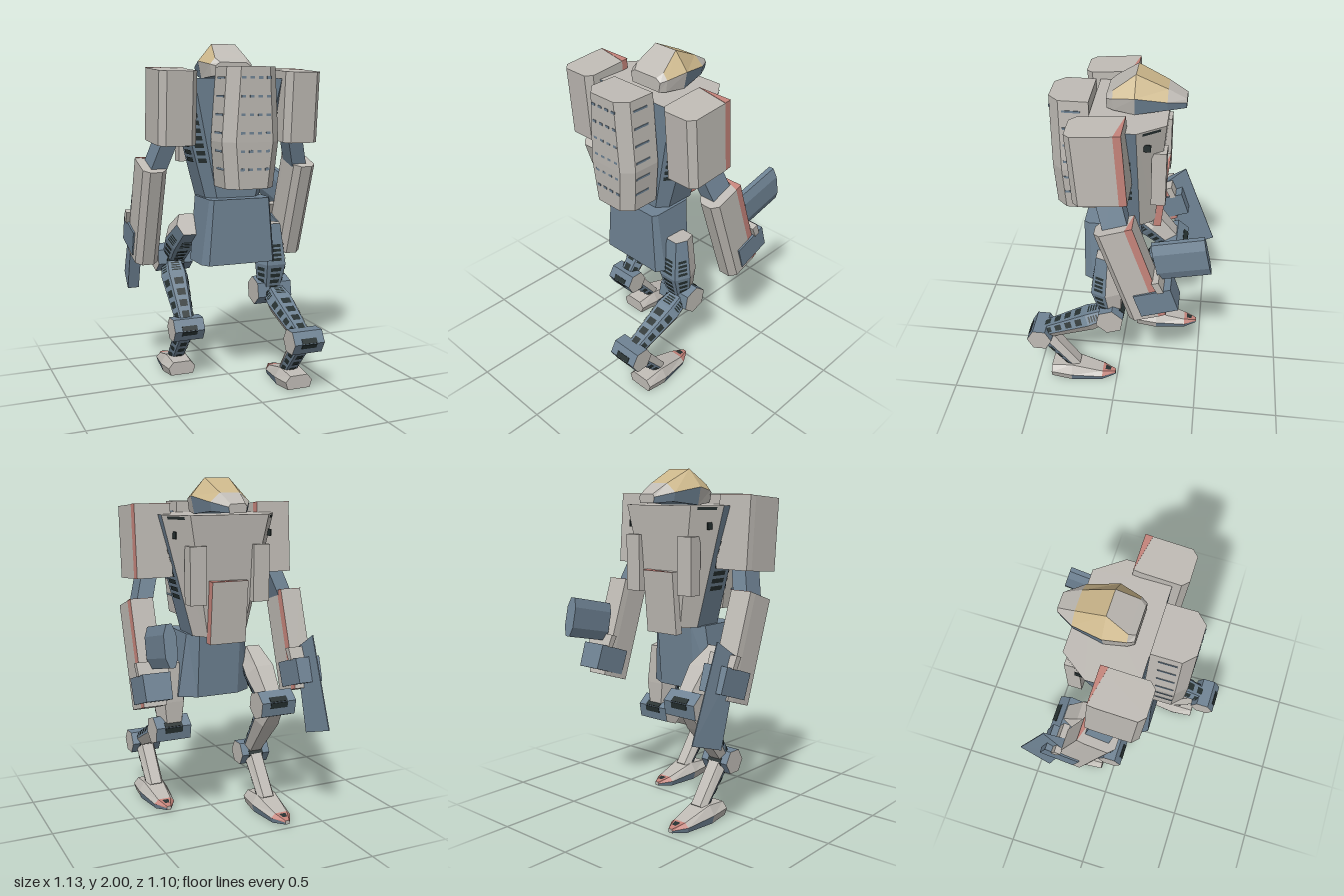
import * as THREE from 'three';

const mat = (name, color) => Object.assign(new THREE.MeshStandardMaterial({ color }), { name });
const grey = mat('armour grey', 0xbfbbb5);
const slate = mat('slate frame', 0x6f8394);
const red = mat('faded red', 0xc4837a);
const tan = mat('canopy tan', 0xcbb68a);
const dark = mat('dark vents', 0x263030);
dark.side = THREE.DoubleSide;

const V = (x, y, z) => new THREE.Vector3(x, y, z);
const centre = pts => pts.reduce((s, p) => s.add(p), V(0, 0, 0)).divideScalar(pts.length);

// Flat-faced hull through rings of points; pick(segment, side) gives each face its material.
function loft(name, rings, pick, cap0 = grey, cap1 = cap0) {
  const faces = new Map();
  const tri = (m, mid, a, b, c) => {
    const n = b.clone().sub(a).cross(c.clone().sub(a));
    const out = n.dot(centre([a, b, c]).sub(mid)) > 0;
    if (!faces.has(m)) faces.set(m, []);
    faces.get(m).push(...(out ? [a, b, c] : [a, c, b]));
  };
  const k = rings[0].length;
  for (let i = 0; i < rings.length - 1; i++) {
    const [r, s] = [rings[i], rings[i + 1]], mid = centre([...r, ...s]);
    for (let j = 0; j < k; j++) {
      const n = (j + 1) % k, m = pick(i, j);
      tri(m, mid, r[j], r[n], s[j]);
      tri(m, mid, r[n], s[n], s[j]);
    }
  }
  const whole = centre(rings.flat());
  [[rings[0], cap0], [rings[rings.length - 1], cap1]].forEach(([r, m]) => {
    for (let j = 1; j < k - 1; j++) tri(m, whole, r[0], r[j], r[j + 1]);
  });
  const geo = new THREE.BufferGeometry(), mats = [...faces.keys()], all = [];
  mats.forEach((m, i) => {
    geo.addGroup(all.length, faces.get(m).length, i);
    all.push(...faces.get(m));
  });
  geo.setFromPoints(all);
  geo.computeVertexNormals();
  const mesh = new THREE.Mesh(geo, mats);
  mesh.name = name;
  return mesh;
}

// Thin dark slats laid across one side of a hull segment, from v0 to v1.
function slats(r, s, j, n, v0 = 0.25, v1 = 0.85) {
  const k = (j + 1) % r.length, mid = centre([...r, ...s]), pts = [];
  const normal = r[k].clone().sub(r[j]).cross(s[j].clone().sub(r[j])).normalize();
  if (normal.dot(r[j].clone().sub(mid)) < 0) normal.negate();
  const at = (u, v) => r[j].clone().lerp(r[k], u).lerp(s[j].clone().lerp(s[k], u), v).addScaledVector(normal, 0.004);
  for (let i = 0; i < n; i++) {
    const a = v0 + (v1 - v0) * i / n, b = a + (v1 - v0) * 0.6 / n;
    const [p, q, t, w] = [at(0.2, a), at(0.8, a), at(0.8, b), at(0.2, b)];
    pts.push(p, q, t, p, t, w);
  }
  const geo = new THREE.BufferGeometry().setFromPoints(pts);
  geo.computeVertexNormals();
  const mesh = new THREE.Mesh(geo, dark);
  mesh.name = 'ventSlats';
  return mesh;
}

function box(name, m, size, pos) {
  const mesh = new THREE.Mesh(new THREE.BoxGeometry(...size), m);
  mesh.position.set(...pos);
  mesh.name = name;
  return mesh;
}

// Symmetric horizontal ring from its +x half, listed front to back.
const ringY = (y, half) => [...half.map(([x, z]) => V(x, y, z)),
  ...half.slice().reverse().map(([x, z]) => V(-x, y, z))];

// Armour block: chamfered rear corners, red strip on the +x front edge and a red corner on top.
function armour(name, w, h, d) {
  const g = new THREE.Group();
  g.name = name;
  const half = [[w / 2 - 0.004, -d / 2], [w / 2, -d / 2 + 0.042], [w / 2, d / 2 - 0.035], [w / 2 - 0.035, d / 2]];
  g.add(loft(name + 'Block', [ringY(-h / 2, half), ringY(h / 2, half)], (i, j) => (j === 0 ? red : grey)));
  const corner = y => [V(-w / 2, y, -d / 2), V(w / 2, y, -d / 2), V(w / 2, y, -d / 2 + 0.042)];
  g.add(loft(name + 'Corner', [corner(h / 2), corner(h / 2 + 0.002)], () => red, red));
  return g;
}

// Six-sided limb through [y, z, halfWidth, halfDepth] stations: grey in front, slate behind.
function limb(name, x, st) {
  const rings = st.map(([y, z, w, d], i) => {
    const a = st[Math.max(i - 1, 0)], b = st[Math.min(i + 1, st.length - 1)];
    const l = Math.hypot(b[0] - a[0], b[1] - a[1]);
    const ny = -(b[1] - a[1]) / l, nz = (b[0] - a[0]) / l;
    return [[-w, 0], [-0.6 * w, d], [0.6 * w, d], [w, 0], [0.6 * w, -d], [-0.6 * w, -d]]
      .map(([u, v]) => V(x + u, y + ny * v, z + nz * v));
  });
  const g = new THREE.Group();
  g.name = name;
  g.add(loft(name + 'Shell', rings, (i, j) => (j < 3 ? grey : slate)));
  for (let i = 1; i < rings.length; i++) {
    [3, 4, 5].forEach(j => g.add(slats(rings[i - 1], rings[i], j, 4, i < rings.length - 1 ? 0.5 : 0.1, 0.95)));
  }
  return g;
}

// Hexagonal joint with grey ends and a dark inset folded over its front and back edges.
function joint(name, x, y, z, r, len, roll) {
  const geo = new THREE.CylinderGeometry(r, r, len, 6).toNonIndexed();
  geo.computeVertexNormals();
  const mesh = new THREE.Mesh(geo, [slate, grey, grey]);
  mesh.rotation.set(roll, 0, Math.PI / 2);
  mesh.position.set(x, y, z);
  mesh.name = name;
  for (const a of [1, -1, 5, -5].map(n => n * Math.PI / 6)) {
    const shift = -Math.sign(a) * Math.sign(Math.cos(a)) * 0.27 * r;
    const inset = box('jointInset', dark, [r * 0.4, len * 0.5, 0.006], [
      r * 0.866 * Math.sin(a) + shift * Math.cos(a), 0, r * 0.866 * Math.cos(a) - shift * Math.sin(a)]);
    inset.rotation.y = a;
    mesh.add(inset);
  }
  return mesh;
}

// Leg: thigh stations differ, the lower leg is shifted by dz.
function leg(name, side, thigh, dz) {
  const g = new THREE.Group();
  g.name = name;
  const [ky, kz] = thigh[2], hz = 0.475 + dz, x = side * 0.27, fx = side * 0.276;
  g.add(limb('thigh', side * 0.25, thigh));
  g.add(joint('knee', side * 0.259, ky, kz, 0.086, 0.22, 0.35));
  g.add(limb('shin', x, [[ky, kz, 0.06, 0.05], [ky * 0.7 + 0.1, kz * 0.7 + hz * 0.3, 0.085, 0.06], [0.325, hz, 0.055, 0.04]]));
  g.add(joint('hock', x, 0.322, hz, 0.076, 0.187, 0));
  g.add(limb('ankle', x, [[0.325, 0.46 + dz, 0.06, 0.05], [0.08, 0.26 + dz, 0.055, 0.035]]));
  // Foot sections along z: [z, top half width, mid half width, bottom half width, top y, mid y, bottom y]
  const foot = [[0.41, 0.055, 0.085, 0.07, 0.09, 0.055, 0.01], [0.28, 0.06, 0.095, 0.08, 0.105, 0.05, 0],
    [0.09, 0.04, 0.065, 0.055, 0.055, 0.03, 0], [0.01, 0.012, 0.015, 0.012, 0.035, 0.025, 0.012]]
    .map(([z, t, m, b, ty, my, by]) => [[t, ty], [m, my], [b, by], [-b, by], [-m, my], [-t, ty]]
      .map(([u, y]) => V(fx + u, y, z + dz)));
  g.add(loft('foot', foot, (i, j) => (j > 0 && j < 4 ? (i === 0 && j !== 2 ? grey : slate) : i === 2 ? red : grey)));
  g.add(slats(foot[2], foot[3], 5, 1, 0.2, 0.9));
  return g;
}

export function createModel() {
  const model = new THREE.Group();
  model.name = 'walkerMech';

  // Torso
  const top = ringY(1.8, [[0.24, -0.26], [0.35, -0.11], [0.35, 0.06], [0.27, 0.16]]);
  const low = ringY(1.11, [[0.11, -0.2], [0.17, -0.12], [0.17, 0.06], [0.12, 0.12]]);
  model.add(loft('chest', [top, low], (i, j) => (j === 7 || j === 0 || j === 6 ? grey : slate), grey, slate));
  [1, 2, 4, 5].forEach(j => model.add(slats(top, low, j, 7, 0.28, 0.72)));
  [0, 6].forEach(j => model.add(slats(top, low, j, 1, 0.01, 0.05)));
  model.add(loft('pelvis', [
    ringY(1.115, [[0.13, -0.13], [0.188, -0.07], [0.188, 0.17], [0.17, 0.2]]),
    ringY(0.735, [[0.13, -0.1], [0.23, -0.04], [0.23, 0.15], [0.2, 0.2]])], () => slate, slate));

  // Chest front plates
  const belly = armour('bellyPlate', 0.23, 0.36, 0.08);
  belly.position.set(0, 1.255, -0.212);
  belly.rotation.x = -0.09;
  model.add(belly);
  for (const s of [-1, 1]) {
    model.add(box('chestPanel', grey, [0.1, 0.325, 0.08], [s * 0.195, 1.47, -0.225]));
    model.add(box('chestPort', dark, [0.006, 0.04, 0.04], [s * 0.295, 1.69, -0.165]));
  }

  // Head sections along z: [z, top x, top y, side x, side y, bottom x, bottom y]
  const head = [[0.075, 0.08, 1.89, 0.11, 1.87, 0.1, 1.815], [0.04, 0.1, 1.915, 0.13, 1.88, 0.12, 1.81],
    [-0.08, 0.075, 2, 0.16, 1.9, 0.14, 1.8], [-0.25, 0.06, 1.92, 0.12, 1.87, 0.11, 1.82],
    [-0.35, 0.045, 1.862, 0.056, 1.845, 0.05, 1.812]]
    .map(([z, a, b, c, d, e, f]) => [[a, b], [c, d], [e, f], [-e, f], [-c, d], [-a, b]].map(([x, y]) => V(x, y, z)));
  model.add(loft('head', head, (i, j) => {
    if (j > 0 && j < 4) return j === 2 || i > 1 ? slate : grey;
    return i === 2 || (i === 1 && j !== 5) ? tan : grey;
  }));

  // Backpack with rows of small slate vents on its rear and sides
  const pack = [[1.86, 0.145, 0.165, 0.39], [1.45, 0.17, 0.15, 0.38], [1.19, 0.145, 0.14, 0.365]]
    .map(([y, w, z0, z1]) => ringY(y, [[w, z0], [w, z1 - 0.06], [w - 0.06, z1]]));
  model.add(loft('backpack', pack, () => grey));
  model.add(box('packMount', slate, [0.24, 0.5, 0.08], [0, 1.5, 0.13]));
  for (let r = 0; r < 6; r++) {
    const y = 1.8 - r * 0.1;
    const w = 0.17 - (y > 1.45 ? (y - 1.45) * 0.061 : (1.45 - y) * 0.096);
    for (const x of [-0.07, -0.02, 0.03, 0.08]) {
      model.add(box('packVent', slate, [0.025, 0.014, 0.008], [x, y, 0.39 - (1.86 - y) * 0.035]));
    }
    for (const x of [-w, w]) model.add(box('packSideVent', slate, [0.006, 0.012, 0.1], [x, y, 0.26]));
  }

  // Arms
  for (const s of [-1, 1]) {
    const arm = new THREE.Group();
    arm.name = s > 0 ? 'leftArm' : 'rightArm';
    const shoulder = armour('shoulder', 0.22, 0.41, 0.295);
    shoulder.position.set(s * 0.38, 1.643, 0.08);
    shoulder.rotation.x = 0.08;
    const upper = box('upperArm', slate, [0.09, 0.32, 0.14], [s * 0.415, 1.4, 0.01]);
    upper.rotation.set(0.3, 0, s * 0.3);
    const fore = new THREE.Group();
    fore.name = 'forearmGroup';
    fore.position.set(s * 0.474, 1.026, -0.108);
    fore.rotation.x = 0.33;
    fore.add(armour('forearm', 0.14, 0.6, 0.22));
    const slab = (y, w, z0, z1) => ringY(y, [[w, z0], [w, z1]]);
    fore.add(loft('cuff', [slab(-0.275, 0.076, -0.19, 0.025), slab(-0.125, 0.08, -0.19, 0.025)], () => slate, slate));
    fore.add(loft('cuffPlate', [slab(-0.13, 0.088, -0.15, -0.115), slab(-0.055, 0.092, -0.145, -0.105)], () => grey));
    arm.add(shoulder, upper, fore);
    model.add(arm);
  }

  // Left weapon: eight-sided block pointing forward
  const gun = [[0.015, 0.115], [0.035, 0.06], [0.035, -0.06], [0.015, -0.115]];
  const gunRing = z => [...gun, ...gun.slice().reverse().map(([x, y]) => [-x, y])].map(([x, y]) => V(x, y, z));
  const weapon = loft('armBlock', [gunRing(-0.145), gunRing(0.145)], () => slate, slate);
  weapon.position.set(0.465, 1.122, -0.377);
  weapon.rotation.x = 0.22;
  model.add(weapon);

  // Right weapon: wedge blade with its edge forward
  const blade = [[0.995, -0.21, 1.1, -0.345], [0.513, -0.35, 0.577, -0.55]].map(([yb, zb, yf, zf]) => [
    V(-0.533, yb, zb), V(-0.463, yb, zb), V(-0.493, yf, zf), V(-0.499, yf, zf)]);
  model.add(loft('blade', blade, () => slate, slate));

  // Legs
  model.add(leg('leftLeg', 1, [[0.94, 0.05, 0.06, 0.07], [0.7, 0.06, 0.1, 0.09], [0.525, 0.035, 0.07, 0.06]], 0));
  model.add(leg('rightLeg', -1, [[0.95, -0.02, 0.07, 0.07], [0.85, -0.16, 0.095, 0.085], [0.705, -0.305, 0.07, 0.06]], -0.485));
  return model;
}
